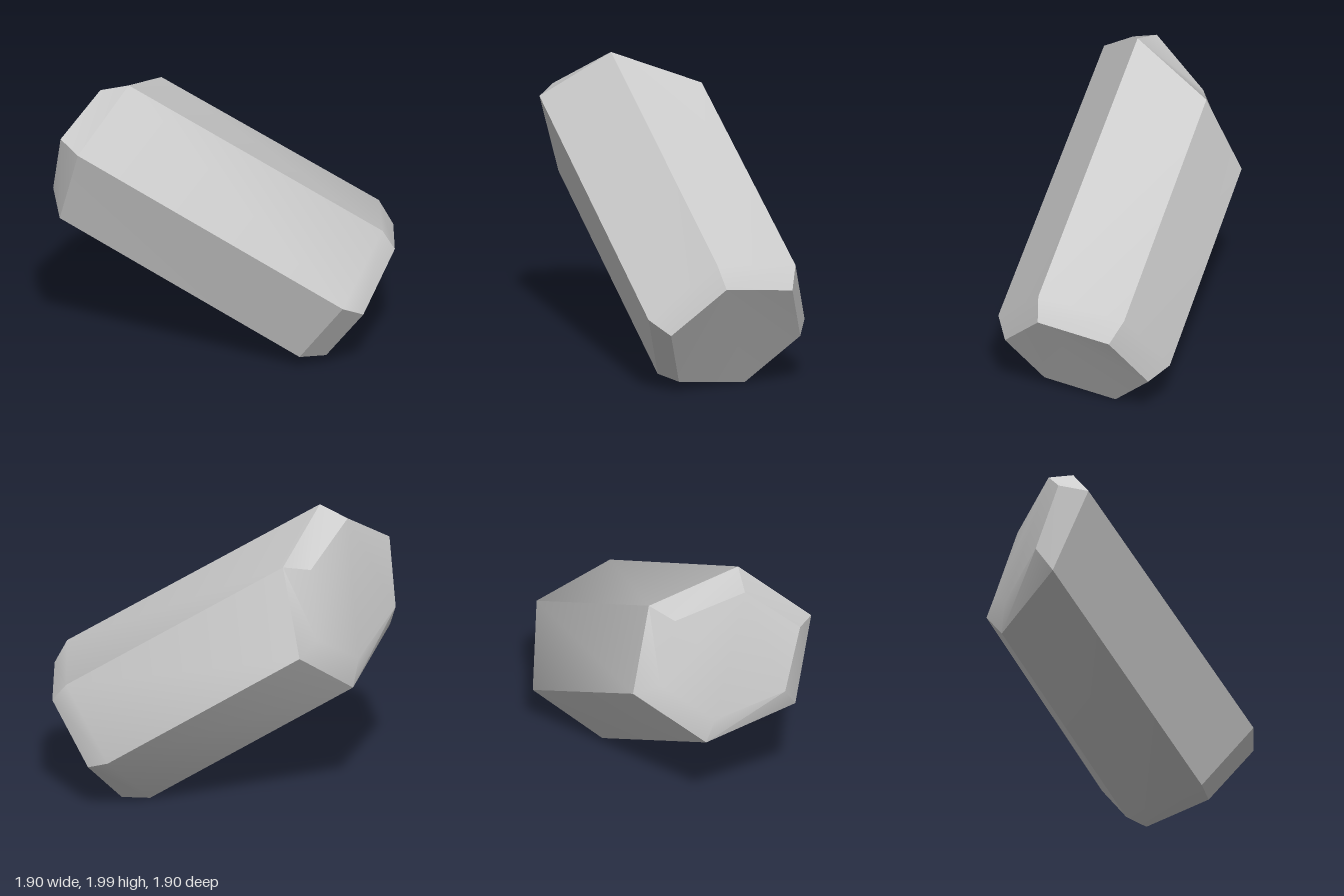
import * as THREE from 'three';
import { toCreasedNormals } from 'three/addons/utils/BufferGeometryUtils.js';

// Hexagonal cross-section: a centre and three corners; the other three are their opposites
function hexagon(center, corners) {
  const opposite = corners.map(p => p.map((v, i) => 2 * center[i] - v));
  return [...corners, ...opposite];
}

// Skins the rings with quads and closes both ends
function loft(rings) {
  const sides = rings[0].length;
  const index = [];
  for (let i = 0; i < rings.length - 1; i++) {
    for (let j = 0; j < sides; j++) {
      const a = i * sides + j, b = i * sides + (j + 1) % sides;
      index.push(a, b, b + sides, a, b + sides, a + sides);
    }
  }
  const last = (rings.length - 1) * sides;
  for (let j = 1; j < sides - 1; j++) {
    index.push(0, j + 1, j);
    index.push(last, last + j, last + j + 1);
  }
  const geometry = new THREE.BufferGeometry();
  geometry.setAttribute('position', new THREE.Float32BufferAttribute(rings.flat(2), 3));
  geometry.setIndex(index);
  return toCreasedNormals(geometry, THREE.MathUtils.degToRad(30));
}

export function createModel() {
  const grey = new THREE.MeshStandardMaterial({ color: 0xcccccc });
  grey.name = 'light grey';

  // Tilted hexagonal crystal, from the upper cap to the lower cap
  const rings = [
    hexagon([-0.825, 1.49, 0.43], [[-0.70, 1.93, 0.52], [-0.75, 1.70, 0.89], [-0.88, 1.26, 0.80]]),
    hexagon([-0.73, 1.43, 0.37], [[-0.51, 2.00, 0.46], [-0.56, 1.66, 0.95], [-0.78, 1.09, 0.86]]),
    hexagon([0.52, 0.49, -0.49], [[0.88, 0.96, -0.49], [0.90, 0.57, -0.03], [0.54, 0.10, -0.03]]),
    hexagon([0.63, 0.41, -0.57], [[0.93, 0.81, -0.56], [0.95, 0.48, -0.19], [0.64, 0.08, -0.19]]),
  ];

  const crystal = new THREE.Mesh(loft(rings), grey);
  crystal.name = 'crystal';

  const group = new THREE.Group();
  group.name = 'hexagonalCrystal';
  group.add(crystal);
  return group;
}
